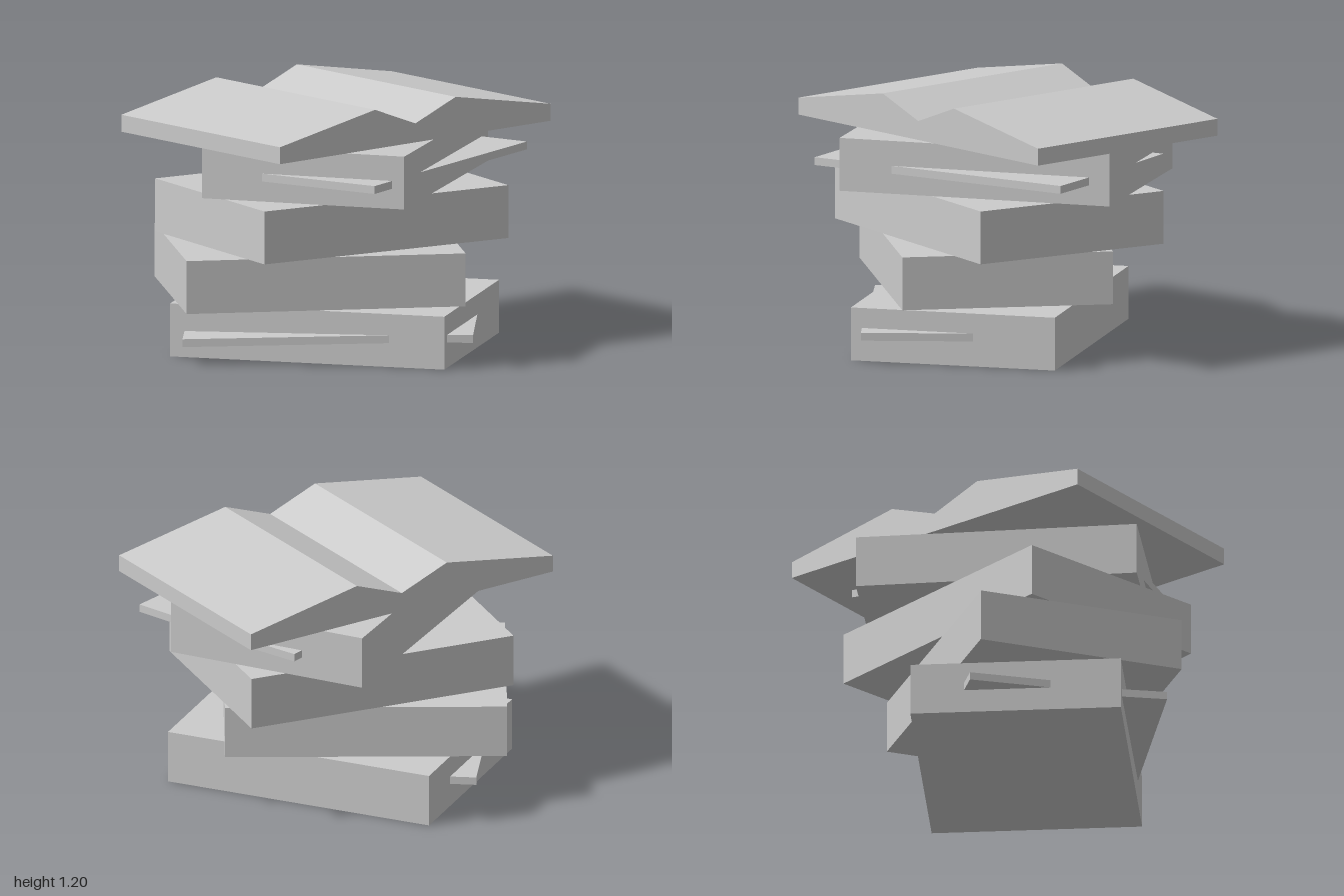
import * as THREE from 'three';

const material = new THREE.MeshStandardMaterial({ color: 0xcccccc, flatShading: true });

export function createModel() {
  const model = new THREE.Group();

  function addMesh(name, geometry, x, y, z, turn) {
    const mesh = new THREE.Mesh(geometry, material);
    mesh.name = name;
    mesh.position.set(x, y, z);
    mesh.rotation.y = turn;
    model.add(mesh);
    return mesh;
  }

  // Closed books, stacked with a different turn each: width, depth, x, z, turn
  const books = [
    [1.319, 0.981, -0.0075, 0.085, -0.2725],
    [1.312, 0.99, -0.122, 0.1, 0.142],
    [1.32, 0.99, -0.02, 0.04, 0.528],
    [0.983, 1.314, 0.0425, 0.01, -0.3115],
  ];
  books.forEach(([w, d, x, z, turn], i) => {
    addMesh(`closedBook${i + 1}`, new THREE.BoxGeometry(w, 0.25, d), x, 0.125 + i * 0.2555, z, turn);
  });

  // Loose slips sticking out of the pages: outer edge from (x1, z1) to (x2, z2),
  // the remaining width runs inwards and is hidden in the book
  function addSlip(x1, z1, x2, z2, y, tilt = 0) {
    const width = 0.3;
    const dx = x2 - x1, dz = z2 - z1, length = Math.hypot(dx, dz);
    const mx = (x1 + x2) / 2, mz = (z1 + z2) / 2;
    let nx = -dz / length, nz = dx / length;
    if (nx * mx + nz * mz > 0) { nx = -nx; nz = -nz; }
    const slip = addMesh('pageSlip', new THREE.BoxGeometry(length, 0.037, width),
      mx + nx * width / 2, y, mz + nz * width / 2, Math.atan2(-dz, dx));
    slip.rotation.z = tilt;
  }
  // Bottom book
  addSlip(-0.72, 0.61, 0.24, 0.664, 0.118, 0.028);
  addSlip(0.63, 0.69, 0.655, 0.17, 0.137);
  addSlip(-0.7, -0.32, -0.687, 0.065, 0.13);
  // Upper closed book
  addSlip(0.17, 0.9, -0.35, 0.574, 0.88);
  addSlip(0.89, -0.235, 0.387, 0.545, 0.88);
  addSlip(0.1, -0.72, 0.323, -0.59, 0.88);

  // Open book on top: flat underside, two page ridges and a centre valley
  const profile = [
    [-0.84, 0], [0.84, 0], [0.84, 0.08], [0.25, 0.185],
    [0, 0.09], [-0.25, 0.185], [-0.84, 0.08],
  ].map(([x, y]) => new THREE.Vector2(x, y));
  const depth = 1.113;
  const pages = new THREE.ExtrudeGeometry(new THREE.Shape(profile), { depth, bevelEnabled: false });
  pages.translate(0, 0, -depth / 2);
  addMesh('openBook', pages, 0, 1.016, 0, 0.714);

  return model;
}
